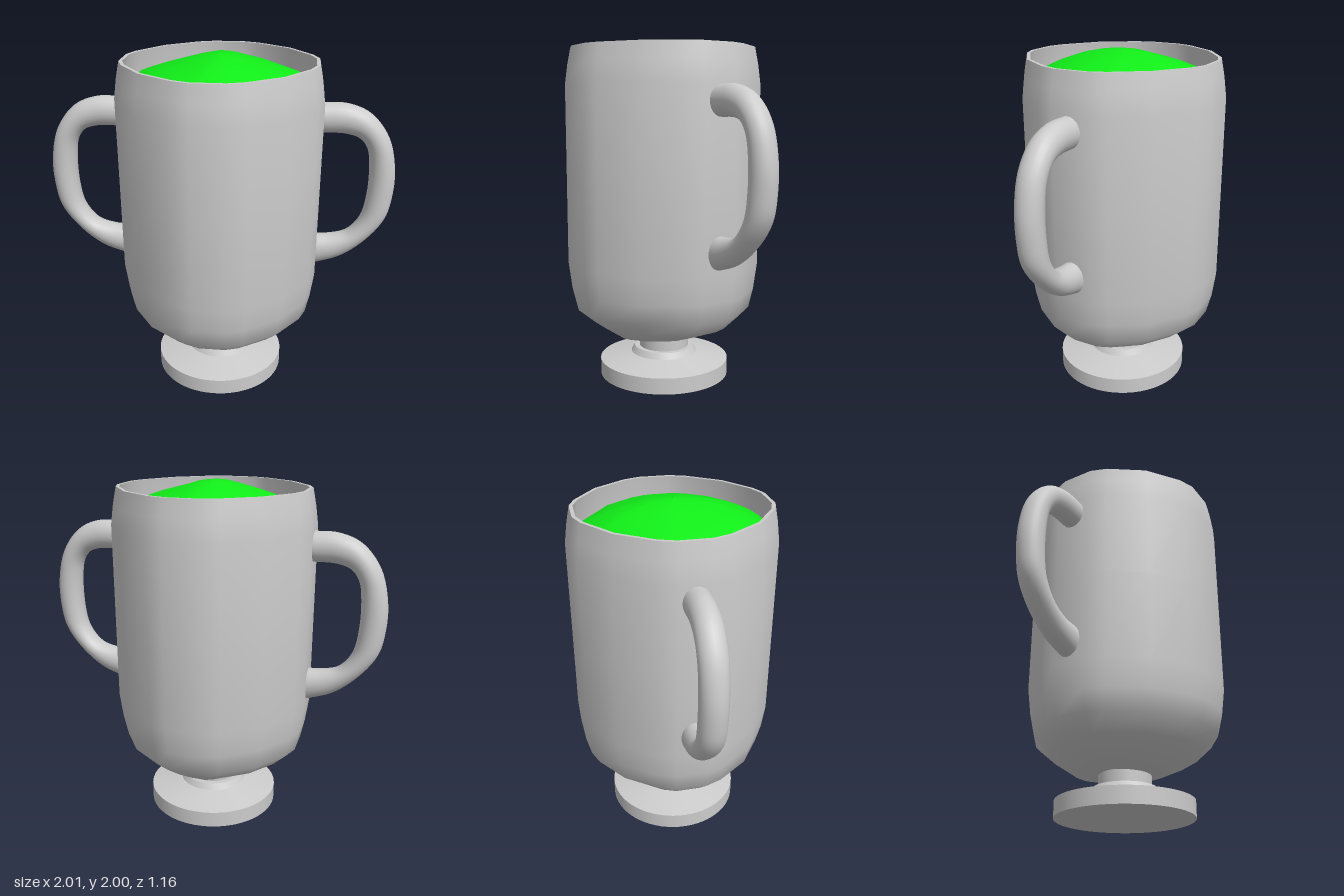
import * as THREE from 'three';
import { toCreasedNormals } from 'three/addons/utils/BufferGeometryUtils.js';

const grey = new THREE.MeshStandardMaterial({ color: 0xcccccc });
const greyDouble = new THREE.MeshStandardMaterial({ color: 0xcccccc, side: THREE.DoubleSide });
const green = new THREE.MeshStandardMaterial({ color: 0x11ee18, side: THREE.DoubleSide });

// Joins closed loops of points into one skin
function skin(rings) {
  const n = rings[0].length;
  const index = [];
  for (let r = 0; r < rings.length - 1; r++) {
    for (let i = 0; i < n; i++) {
      const a = r * n + i, b = r * n + (i + 1) % n;
      index.push(a, a + n, b, b, a + n, b + n);
    }
  }
  const geometry = new THREE.BufferGeometry().setFromPoints(rings.flat());
  geometry.setIndex(index);
  geometry.computeVertexNormals();
  return geometry;
}

// Twenty-sided outline of the cup, unit radius, one quadrant turned four times
const quadrant = [[1, 0.17], [0.935, 0.345], [0.69, 0.69], [0.345, 0.935], [0.17, 1]];
const outline = [];
let turned = quadrant;
for (let q = 0; q < 4; q++) {
  outline.push(...turned);
  turned = turned.map(([x, z]) => [-z, x]);
}
const cupRing = ([y, rx, rz = rx]) => outline.map(([x, z]) => new THREE.Vector3(x * rx, y, z * rz));

function mesh(name, geometry, material) {
  const m = new THREE.Mesh(geometry, material);
  m.name = name;
  return m;
}

// Handle: oval sections spanning an outer and an inner edge curve
function handleGeometry() {
  const curve = pts => new THREE.CatmullRomCurve3(pts.map(([x, y]) => new THREE.Vector3(x, y, 0)));
  const outer = curve([[0.57, 0.745], [0.73, 0.805], [0.87, 0.92], [0.97, 1.06], [1, 1.2],
    [1, 1.36], [0.95, 1.55], [0.84, 1.685], [0.71, 1.737], [0.57, 1.74]]);
  const inner = curve([[0.57, 0.935], [0.66, 0.94], [0.75, 0.965], [0.825, 1.06], [0.853, 1.2],
    [0.853, 1.38], [0.835, 1.48], [0.79, 1.54], [0.71, 1.567], [0.57, 1.57]]);
  const rings = [];
  for (let s = 0; s <= 48; s++) {
    const o = outer.getPoint(s / 48), i = inner.getPoint(s / 48);
    const middle = o.clone().add(i).multiplyScalar(0.5);
    const half = o.clone().sub(i).multiplyScalar(0.5);
    const ring = [];
    for (let k = 0; k < 24; k++) {
      const a = k / 24 * Math.PI * 2;
      const p = middle.clone().addScaledVector(half, Math.cos(a));
      p.z = 0.075 * Math.sin(a);
      ring.push(p);
    }
    rings.push(ring);
  }
  return skin(rings);
}

export function createModel() {
  const model = new THREE.Group();
  model.name = 'twoHandledCup';

  // Cup: outside from the bottom up, over the rim, then down the inside
  const cup = skin([
    [0.235, 0.001], [0.24, 0.13, 0.2], [0.265, 0.24, 0.3], [0.355, 0.45, 0.43],
    [0.44, 0.535, 0.53], [0.56, 0.56], [0.71, 0.58], [1.23, 0.58], [1.75, 0.58],
    [1.86, 0.565], [1.96, 0.545], [1.96, 0.525], [1.75, 0.555], [0.71, 0.555],
    [0.46, 0.5], [0.32, 0.22], [0.3, 0.001],
  ].map(cupRing));
  model.add(mesh('cup', toCreasedNormals(cup, 0.9), greyDouble));

  // Domed filling, closing towards the top
  const filling = skin([
    [1.81, 0.545], [1.835, 0.515], [1.875, 0.455], [1.92, 0.32, 0.36],
    [1.96, 0.17, 0.245], [1.985, 0.09, 0.13], [1.995, 0.001],
  ].map(cupRing));
  model.add(mesh('filling', filling, green));

  // Round foot and stem
  const profile = [[0, 0], [0.39, 0], [0.39, 0.095], [0.2, 0.135], [0.18, 0.17], [0.15, 0.17], [0.15, 0.29]]
    .map(([r, y]) => new THREE.Vector2(r, y));
  const foot = toCreasedNormals(new THREE.LatheGeometry(profile, 64), 0.25);
  model.add(mesh('foot', foot, grey));

  // Handles on both sides
  const handle = handleGeometry();
  const left = mesh('leftHandle', handle, grey);
  const right = mesh('rightHandle', handle, grey);
  right.rotation.y = Math.PI;
  model.add(left, right);

  return model;
}
